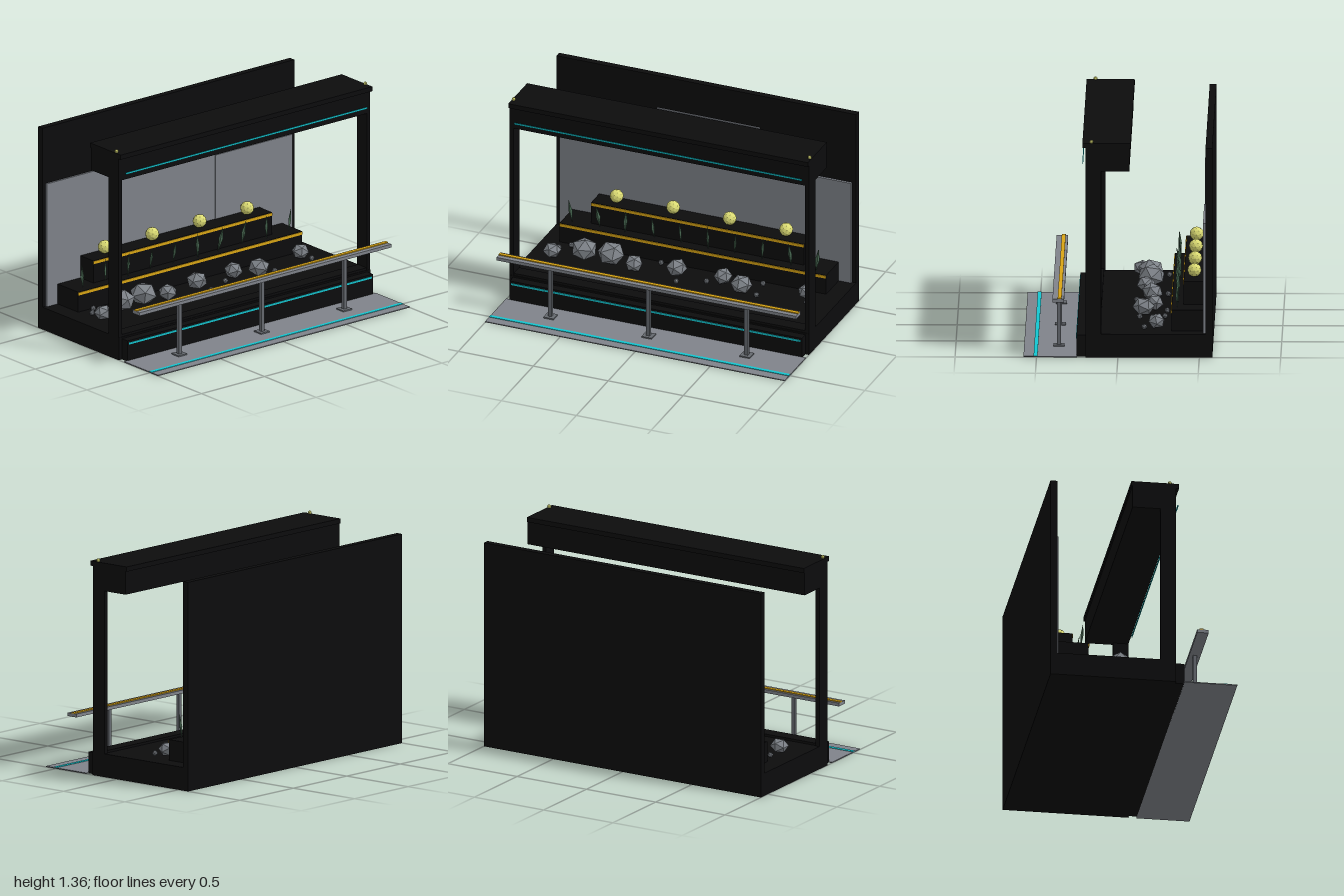
import * as THREE from 'three';

const material = (name, color, flatShading = false) => {
  const m = new THREE.MeshStandardMaterial({ color, flatShading });
  m.name = name;
  return m;
};

export function createModel() {
  const model = new THREE.Group();
  model.name = 'displayStage';

  const black = material('black', 0x0c0c0d);
  const grey = material('panelGrey', 0x7f838a);
  const steel = material('steel', 0x666a70);
  const stone = material('stone', 0x7d8288, true);
  const gold = material('gold', 0xd9a514);
  const cyan = material('cyan', 0x14c6d0);
  const lamp = material('lampYellow', 0xdcdc74, true);
  const leaf = material('leafGreen', 0x4a6b54, true);

  const add = (name, geometry, mat, x, y, z) => {
    const mesh = new THREE.Mesh(geometry, mat);
    mesh.name = name;
    mesh.position.set(x, y, z);
    model.add(mesh);
    return mesh;
  };
  // Box given by its extents along each axis
  const box = (name, mat, [x0, x1], [y0, y1], [z0, z1]) =>
    add(name, new THREE.BoxGeometry(x1 - x0, y1 - y0, z1 - z0), mat,
      (x0 + x1) / 2, (y0 + y1) / 2, (z0 + z1) / 2);

  // Base, kerb, sill and rear wall
  box('base', black, [-1, 1], [0, 0.145], [-0.56, 0.2]);
  box('kerb', black, [-0.975, 0.975], [0, 0.135], [0.2, 0.254]);
  box('sill', black, [-0.975, 0.975], [0.145, 0.16], [0.11, 0.195]);
  box('rearWall', black, [-1, 1], [0, 1.31], [-0.58, -0.538]);
  box('kerbStripe', cyan, [-0.965, 0.965], [0.11, 0.122], [0.254, 0.258]);

  // Stepped backdrop panels
  box('backdropLeft', grey, [-0.975, -0.325], [0.145, 0.945], [-0.538, -0.526]);
  box('backdropMiddle', grey, [-0.325, 0.36], [0.145, 1.09], [-0.538, -0.526]);
  box('backdropRight', grey, [0.36, 0.972], [0.145, 0.835], [-0.538, -0.522]);

  // Front frame: pillars, header, cap and finials
  for (const s of [-1, 1]) {
    const pillar = new THREE.BoxGeometry(0.027, 1.165, 0.095);
    add('pillar', pillar, black, s * 0.9865, 0.7275, 0.15);
    add('finial', new THREE.IcosahedronGeometry(0.012, 1), lamp, s * 0.988, 1.348, 0.163);
  }
  box('header', black, [-1, 1], [1.165, 1.31], [-0.07, 0.197]);
  box('headerCap', black, [-1, 1], [1.31, 1.34], [-0.078, 0.218]);
  box('headerStripe', cyan, [-0.96, 0.96], [1.204, 1.216], [0.214, 0.219]);

  // Display steps with gold edges
  box('lowerStep', black, [-0.89, 0.89], [0.145, 0.275], [-0.526, -0.327]);
  box('lowerStepEdge', gold, [-0.89, 0.89], [0.254, 0.272], [-0.327, -0.323]);
  box('upperStep', black, [-0.71, 0.71], [0.275, 0.419], [-0.526, -0.4]);
  box('upperStepEdge', gold, [-0.71, 0.71], [0.398, 0.416], [-0.4, -0.396]);

  // Globe lamps on the upper step
  for (let i = 0; i < 4; i++) {
    add('globeLamp', new THREE.IcosahedronGeometry(0.043, 1), lamp, -0.567 + i * 0.377, 0.462, -0.464);
  }

  // Leaning leaf blades on the lower step
  for (let i = 0; i < 10; i++) {
    const blade = add('leafBlade', new THREE.OctahedronGeometry(1), leaf, -0.83 + i * 0.183, 0.353, -0.36);
    blade.scale.set(0.014, 0.08, 0.009);
    blade.rotation.set(0.08, 0.4 * i, i % 3 === 2 ? -0.08 : 0.13);
  }

  // Rocks: x, z, radius, height
  const rocks = [
    [-0.855, -0.128, 0.058, 0.09], [-0.663, -0.182, 0.083, 0.135],
    [-0.487, -0.187, 0.088, 0.14], [-0.32, -0.155, 0.06, 0.1],
    [-0.053, -0.198, 0.066, 0.11], [0.25, -0.214, 0.058, 0.1],
    [0.4, -0.15, 0.069, 0.11], [0.8, -0.235, 0.056, 0.09],
  ];
  rocks.forEach(([x, z, r, h], i) => {
    const geometry = new THREE.IcosahedronGeometry(1);
    geometry.rotateY(i * 1.3).rotateX(i * 0.7);
    add('rock', geometry, stone, x, 0.145 + h / 2, z).scale.set(r, h / 2 + 0.003, r);
  });

  // Pebbles scattered between the rocks
  const pebbles = [
    [-0.855, -0.235], [-0.797, -0.294], [-0.198, -0.294], [-0.016, -0.102], [0.155, -0.176],
    [0.32, -0.294], [0.487, -0.283], [0.508, -0.128], [0.829, -0.16],
  ];
  pebbles.forEach(([x, z], i) => {
    const pebble = add('pebble', new THREE.IcosahedronGeometry(0.018), stone, x, 0.159, z);
    pebble.rotation.set(i, i * 0.6, 0);
  });

  // Walkway with its painted line
  box('walkway', grey, [-1, 1], [0, 0.006], [0.25, 0.58]);
  box('walkwayLine', cyan, [-1, 1], [0.006, 0.009], [0.494, 0.518]);

  // Guard rail on three posts
  box('rail', grey, [-1, 1], [0.343, 0.364], [0.331, 0.402]);
  box('railStripe', gold, [-1, 1], [0.364, 0.37], [0.346, 0.37]);
  for (const x of [-0.655, 0, 0.655]) {
    box('railPost', steel, [x - 0.012, x + 0.012], [0.01, 0.343], [0.355, 0.378]);
    box('postFoot', steel, [x - 0.034, x + 0.034], [0.005, 0.014], [0.333, 0.4]);
  }

  return model;
}
